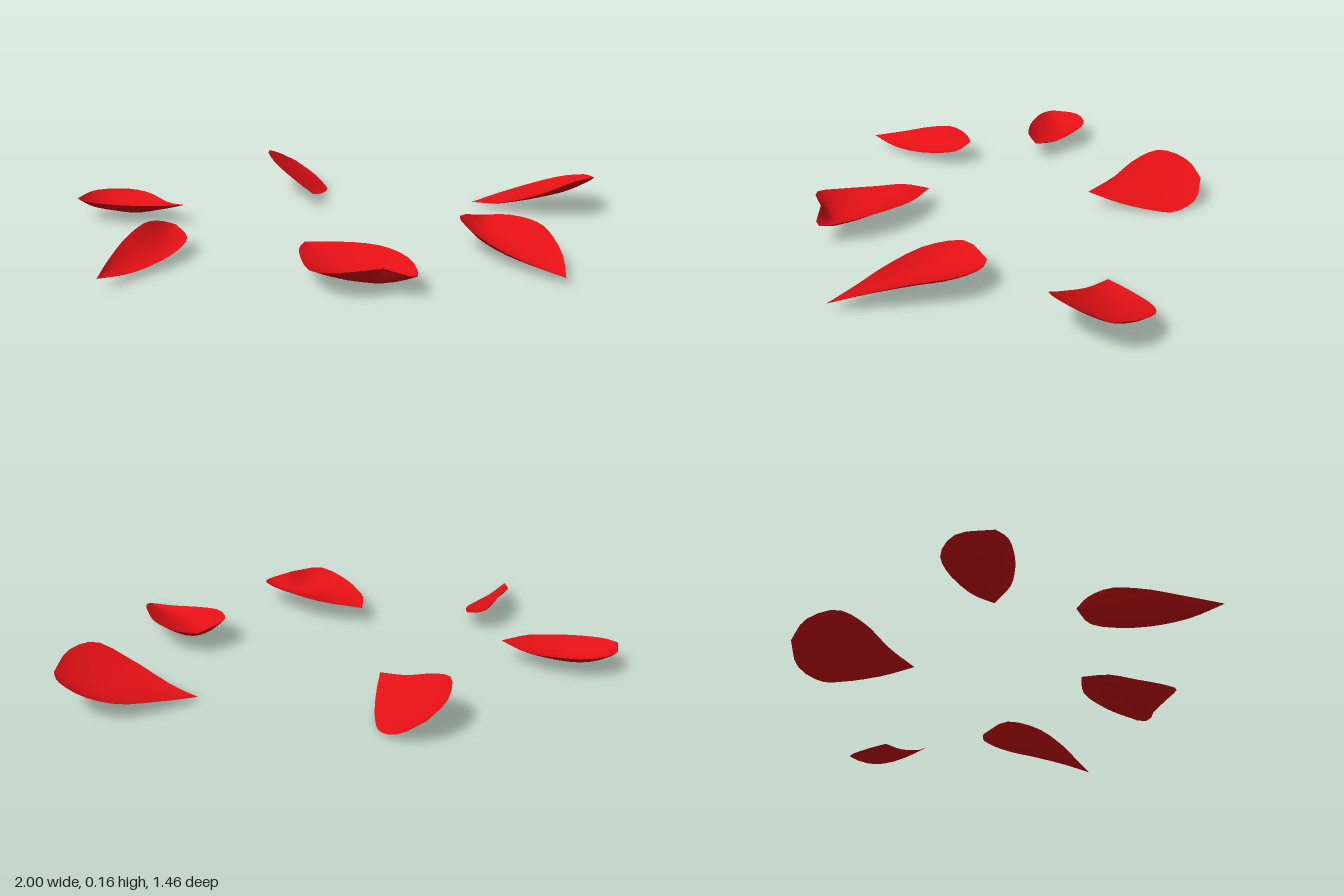
import * as THREE from 'three';

const ALONG = 14, ACROSS = 8;
const material = new THREE.MeshStandardMaterial({ color: 0xe31015, side: THREE.DoubleSide });

// A rail is a smooth curve from the pointed tip to the rounded end.
const rail = (tip, points, end) =>
  new THREE.CatmullRomCurve3([tip, ...points, end].map(p => new THREE.Vector3(...p)));

// A petal is a thin cupped sheet lofted across its left edge, midrib and right edge.
function petal(name, { tip, end, left, mid, right }) {
  const [l, m, r] = [left, mid, right].map(points => rail(tip, points, end));
  const positions = [], indices = [];
  for (let i = 0; i <= ALONG; i++) {
    const t = i / ALONG;
    const a = l.getPoint(t), b = m.getPoint(t), c = r.getPoint(t);
    for (let j = 0; j <= ACROSS; j++) {
      // Parabola through the three rails
      const s = j / ACROSS;
      const p = new THREE.Vector3()
        .addScaledVector(a, (1 - s) * (1 - 2 * s))
        .addScaledVector(b, 4 * s * (1 - s))
        .addScaledVector(c, s * (2 * s - 1));
      positions.push(p.x, p.y, p.z);
      if (i < ALONG && j < ACROSS) {
        const k = i * (ACROSS + 1) + j, n = k + ACROSS + 1;
        // Skip the collapsed triangles at both points of the sheet
        if (i > 0) indices.push(k, k + 1, n);
        if (i < ALONG - 1) indices.push(k + 1, n + 1, n);
        if (i === 0) continue;
      }
    }
  }
  const geometry = new THREE.BufferGeometry();
  geometry.setAttribute('position', new THREE.Float32BufferAttribute(positions, 3));
  geometry.setIndex(indices);
  geometry.computeVertexNormals();
  // The vertices sharing each end get one common upward normal
  const normal = geometry.attributes.normal;
  for (const row of [0, ALONG]) {
    const inner = row === 0 ? 1 : ALONG - 1;
    const k = inner * (ACROSS + 1) + ACROSS / 2;
    for (let j = 0; j <= ACROSS; j++)
      normal.setXYZ(row * (ACROSS + 1) + j, normal.getX(k), normal.getY(k), normal.getZ(k));
  }
  const mesh = new THREE.Mesh(geometry, material);
  mesh.name = name;
  return mesh;
}

export function createModel() {
  const group = new THREE.Group();
  group.name = 'scatteredPetals';

  // Tilted petal at the back
  group.add(petal('backPetal', {
    tip: [-0.10, 0.06, -0.295], end: [-0.14, 0.085, -0.735],
    left: [[-0.165, 0.09, -0.40], [-0.235, 0.135, -0.50], [-0.26, 0.16, -0.60], [-0.215, 0.13, -0.70]],
    mid: [[-0.11, 0.05, -0.40], [-0.13, 0.06, -0.50], [-0.14, 0.065, -0.60], [-0.14, 0.07, -0.69]],
    right: [[-0.06, 0.03, -0.40], [-0.025, 0.007, -0.53], [-0.02, 0, -0.61], [-0.06, 0.03, -0.70]],
  }));

  // Broad petal with its front edge lifted
  group.add(petal('backLeftPetal', {
    tip: [0.53, 0.015, -0.27], end: [1.0, 0.12, -0.20],
    left: [[0.65, 0.035, -0.32], [0.80, 0.06, -0.365], [0.91, 0.09, -0.345], [0.985, 0.115, -0.27]],
    mid: [[0.64, 0.02, -0.25], [0.77, 0.04, -0.23], [0.88, 0.065, -0.21], [0.96, 0.10, -0.20]],
    right: [[0.61, 0.03, -0.19], [0.74, 0.09, -0.08], [0.86, 0.15, -0.035], [0.95, 0.15, -0.09]],
  }));

  // Shallow bowl-like petal
  group.add(petal('backRightPetal', {
    tip: [-0.595, 0.075, -0.145], end: [-1.0, 0.08, -0.26],
    left: [[-0.70, 0.08, -0.125], [-0.80, 0.08, -0.14], [-0.89, 0.08, -0.17], [-0.97, 0.08, -0.215]],
    mid: [[-0.68, 0.05, -0.18], [-0.77, 0.03, -0.225], [-0.86, 0.03, -0.27], [-0.94, 0.045, -0.28]],
    right: [[-0.66, 0.06, -0.24], [-0.74, 0.075, -0.335], [-0.83, 0.08, -0.38], [-0.945, 0.082, -0.36]],
  }));

  // Narrow petal leaning on its side
  group.add(petal('frontRightPetal', {
    tip: [-0.85, 0.04, 0.53], end: [-0.615, 0.085, 0.125],
    left: [[-0.82, 0.065, 0.41], [-0.77, 0.10, 0.29], [-0.71, 0.12, 0.20], [-0.66, 0.105, 0.145]],
    mid: [[-0.795, 0.035, 0.43], [-0.72, 0.045, 0.33], [-0.66, 0.055, 0.24], [-0.63, 0.07, 0.165]],
    right: [[-0.76, 0.025, 0.455], [-0.67, 0.03, 0.37], [-0.60, 0.045, 0.28], [-0.575, 0.06, 0.185]],
  }));

  // Broad petal with its outer end curled up
  group.add(petal('frontPetal', {
    tip: [-0.175, 0.065, 0.305], end: [0.04, 0.10, 0.695],
    left: [[-0.02, 0.08, 0.37], [0.08, 0.09, 0.46], [0.145, 0.085, 0.58], [0.145, 0.07, 0.70]],
    mid: [[-0.11, 0.06, 0.40], [-0.07, 0.05, 0.49], [-0.02, 0.035, 0.58], [0.02, 0.04, 0.66]],
    right: [[-0.20, 0.075, 0.40], [-0.20, 0.07, 0.50], [-0.175, 0.075, 0.63], [-0.09, 0.10, 0.72]],
  }));

  // Deeply cupped petal with both edges raised
  group.add(petal('frontLeftPetal', {
    tip: [0.64, 0.025, 0.64], end: [0.49, 0.085, 0.125],
    left: [[0.55, 0.04, 0.55], [0.46, 0.065, 0.45], [0.39, 0.095, 0.32], [0.385, 0.105, 0.19]],
    mid: [[0.585, 0.03, 0.52], [0.53, 0.03, 0.39], [0.495, 0.035, 0.28], [0.48, 0.055, 0.18]],
    right: [[0.66, 0.06, 0.53], [0.66, 0.09, 0.37], [0.64, 0.095, 0.25], [0.57, 0.09, 0.15]],
  }));

  return group;
}
